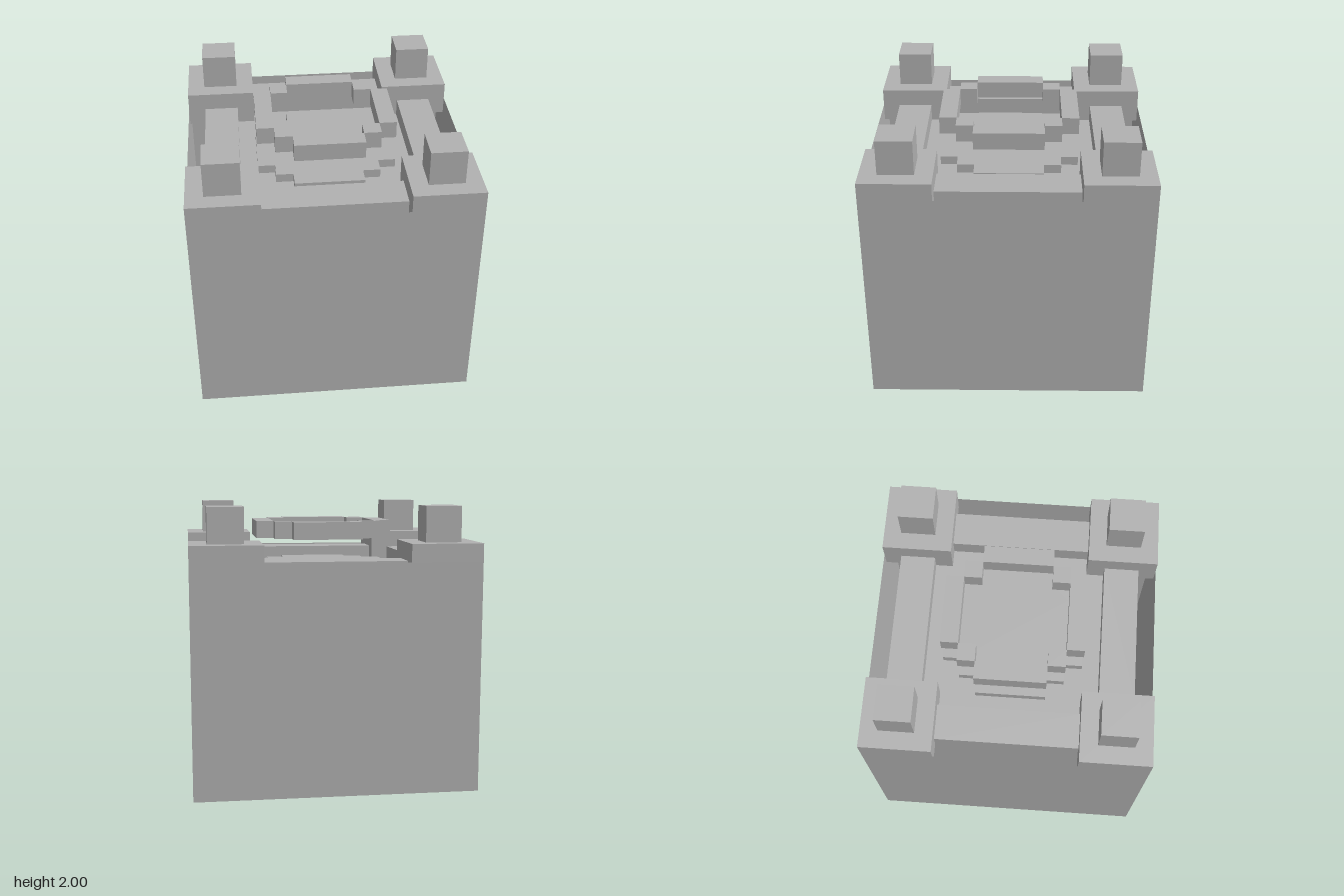
import * as THREE from 'three';

export function createModel() {
  const model = new THREE.Group();
  const stone = new THREE.MeshStandardMaterial({ color: 0xb2b2b2, side: THREE.DoubleSide });
  stone.name = 'grey stone';

  const add = (name, geometry, x, y, z, parent = model) => {
    const mesh = new THREE.Mesh(geometry, stone);
    mesh.name = name;
    mesh.position.set(x, y, z);
    parent.add(mesh);
    return mesh;
  };
  // Box given by its centre in plan and its bottom and top heights
  const block = (name, w, d, bottom, top, x, z, parent) =>
    add(name, new THREE.BoxGeometry(w, top - bottom, d), x, (bottom + top) / 2, z, parent);

  // Pixel-stepped disc outline, 1 unit across
  const q = [[0.5, 0.25], [0.375, 0.25], [0.375, 0.375], [0.25, 0.375], [0.25, 0.5]];
  const outline = [];
  for (let i = 0; i < 4; i++) {
    for (const [x, y] of q) {
      const a = [[x, y], [-y, x], [-x, -y], [y, -x]][i];
      outline.push(new THREE.Vector2(a[0], a[1]));
    }
  }

  // Floor, base and the stepped plate under the ring
  add('floor', new THREE.PlaneGeometry(1.75, 1.75).rotateX(-Math.PI / 2), 0, 1.5, 0);
  add('base', new THREE.PlaneGeometry(1.5, 1.5).rotateX(Math.PI / 2), 0, 0, 0);
  const plate = new THREE.ExtrudeGeometry(new THREE.Shape(outline), { depth: 0.0625, bevelEnabled: false });
  add('steppedPlate', plate.rotateX(-Math.PI / 2), 0, 1.5, 0);

  for (let i = 0; i < 4; i++) {
    // One side, repeated by quarter turns
    const side = new THREE.Group();
    side.name = 'side' + (i + 1);
    side.rotation.y = (i * Math.PI) / 2;
    model.add(side);

    // Thin outer panel and the two crossing panels behind it
    add('outerPanel', new THREE.PlaneGeometry(2, 1.625), 0, 0.8125, 1, side);
    add('middlePanel', new THREE.PlaneGeometry(2, 1.5), 0, 0.75, 0.875, side);
    add('innerPanel', new THREE.PlaneGeometry(2, 1.5), 0, 0.75, 0.75, side);

    // Low parapet between the corner blocks
    block('parapet', 1, 0.25, 1.5, 1.625, 0, 0.75, side);

    // Corner block with its post
    block('cornerBlock', 0.5, 0.5, 1.5, 1.75, 0.75, 0.75, side);
    block('cornerPost', 0.25, 0.25, 1.75, 2, 0.75, 0.75, side);

    // Floating ring pieces
    block('ringBar', 0.5, 0.125, 1.75, 1.875, 0, 0.4375, side);
    block('ringCorner', 0.125, 0.125, 1.75, 1.875, 0.3125, 0.3125, side);
  }
  return model;
}
